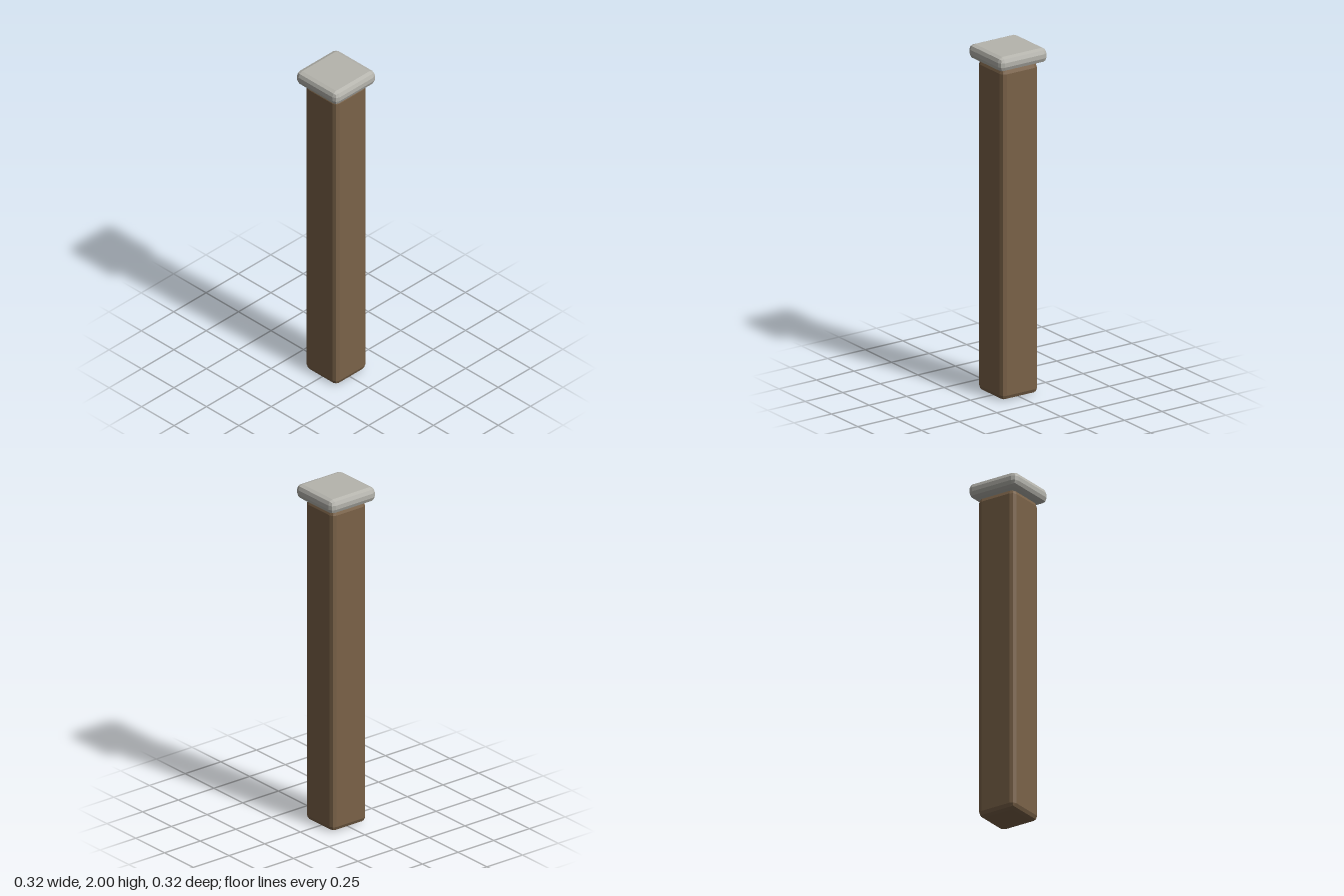
import * as THREE from 'three';
import { RoundedBoxGeometry } from 'three/addons/geometries/RoundedBoxGeometry.js';

function material(name, color) {
  const m = new THREE.MeshStandardMaterial({ color, flatShading: true });
  m.name = name;
  return m;
}

// Square block with faceted edges, resting at the given height
function block(name, width, height, radius, bottom, mat) {
  const mesh = new THREE.Mesh(new RoundedBoxGeometry(width, height, width, 1, radius), mat);
  mesh.name = name;
  mesh.position.y = bottom + height / 2;
  return mesh;
}

export function createModel() {
  const wood = material('brown wood', 0x7a6248);
  const stone = material('pale grey stone', 0xb5b4ad);

  const group = new THREE.Group();
  group.name = 'post';
  group.add(
    block('shaft', 0.242, 1.917, 0.028, 0, wood),
    block('cap', 0.318, 0.083, 0.029, 1.917, stone),
  );
  return group;
}
